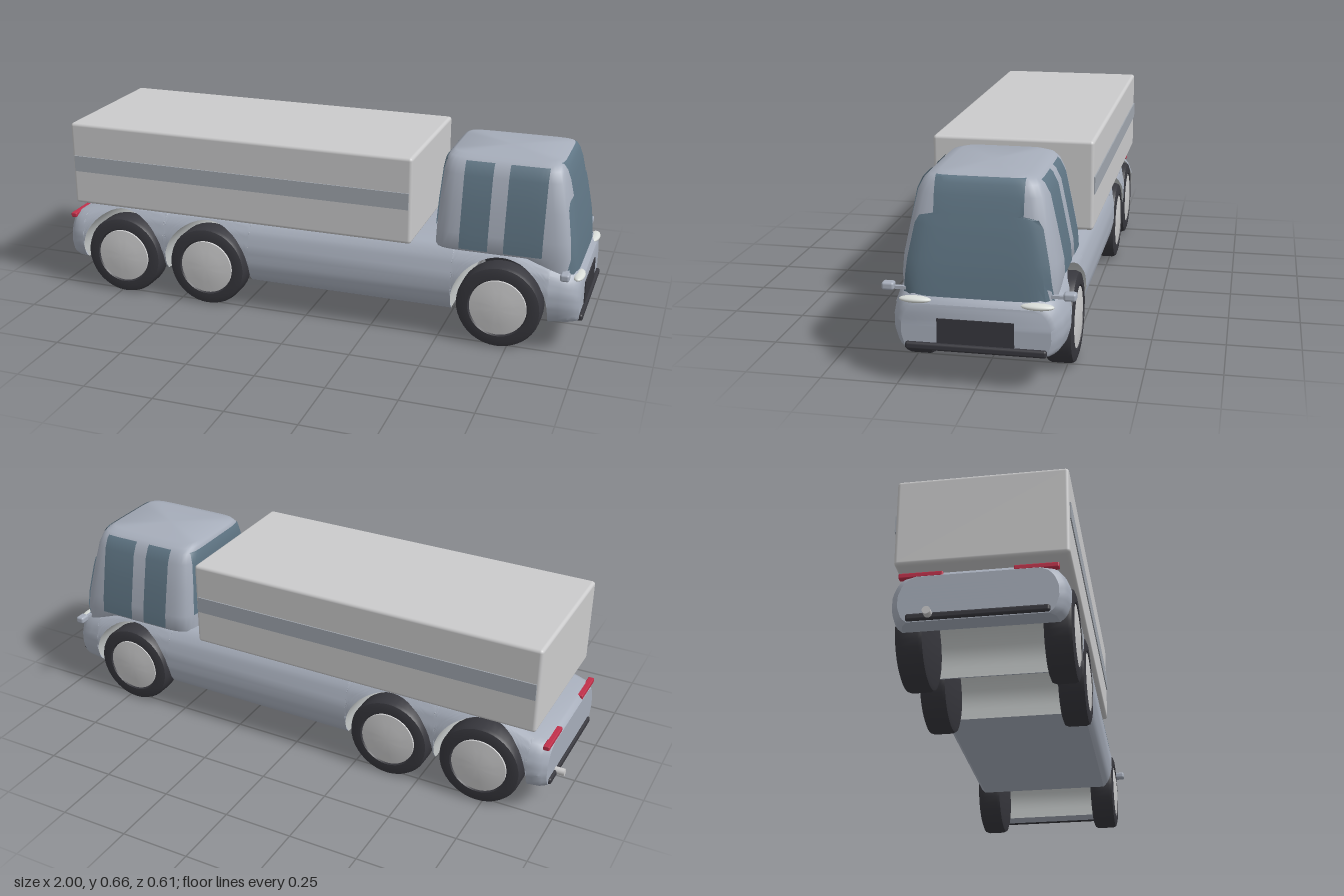
import * as THREE from 'three';
import { toCreasedNormals } from 'three/addons/utils/BufferGeometryUtils.js';
import { RoundedBoxGeometry } from 'three/addons/geometries/RoundedBoxGeometry.js';

const mat = (name, color, side = THREE.FrontSide) => {
  const m = new THREE.MeshStandardMaterial({ color, side });
  m.name = name;
  return m;
};

// Linear interpolation in rows of [key, value, ...]
function lerpTable(table, key, column = 1) {
  if (key <= table[0][0]) return table[0][column];
  for (let i = 1; i < table.length; i++) {
    const a = table[i - 1], b = table[i];
    if (key <= b[0]) return a[column] + (b[column] - a[column]) * (key - a[0]) / (b[0] - a[0]);
  }
  return table[table.length - 1][column];
}

// Collects quads and turns them into a geometry with creased normals
function quadBuilder() {
  const pos = [];
  return {
    quad: (a, b, c, d) => pos.push(...a, ...b, ...c, ...a, ...c, ...d),
    build(crease = 0.6) {
      const g = new THREE.BufferGeometry();
      g.setAttribute('position', new THREE.Float32BufferAttribute(pos, 3));
      return toCreasedNormals(g, crease);
    },
  };
}

// Chassis: top line, width along the length, width up the side
const TOP = [[-0.965, 0.272], [-0.95, 0.288], [-0.72, 0.342], [-0.6, 0.345], [0.75, 0.345], [0.9, 0.315], [0.97, 0.293], [0.988, 0.27]];
const TAPER = [[-0.965, 0.89], [-0.94, 0.97], [-0.9, 1], [0.88, 1], [0.95, 0.95], [0.978, 0.89], [0.988, 0.84]];
const SIDE = [[0, 0.245], [0.1, 0.266], [0.35, 0.28], [0.6, 0.279], [0.82, 0.263], [0.94, 0.242], [1, 0.215]];
const AXLES = [-0.73, -0.385, 0.715];
const BASE = 0.115, AXLE_Y = 0.153;

// Cabin levels: height, rear x, front x, half width
const CABIN = [
  [0.28, 0.465, 0.968, 0.247], [0.345, 0.465, 0.962, 0.252], [0.4, 0.467, 0.955, 0.248],
  [0.5, 0.472, 0.937, 0.228], [0.6, 0.48, 0.915, 0.207], [0.635, 0.485, 0.903, 0.19],
  [0.652, 0.492, 0.893, 0.172], [0.66, 0.505, 0.878, 0.14],
];
const cabinAt = (y) => {
  const [r, f, w] = [1, 2, 3].map((c) => lerpTable(CABIN, y, c));
  return { cx: (r + f) / 2, a: (f - r) / 2, w };
};
const POWER = 8;
const bulge = (t) => Math.pow(Math.max(0, 1 - Math.pow(Math.abs(t), POWER)), 1 / POWER);

function chassisGeometries() {
  const columns = [-0.965, -0.95, -0.94, -0.92].map((x) => [x, BASE]);
  for (const c of AXLES) {
    columns.push([c - 0.17, BASE]);
    for (let i = 0; i <= 24; i++) {
      const a = Math.PI * (1 - i / 24);
      columns.push([c + 0.17 * Math.cos(a), AXLE_Y + 0.175 * Math.sin(a), true]);
    }
    columns.push([c + 0.17, BASE]);
  }
  for (const x of [0.92, 0.95, 0.965, 0.978, 0.988]) columns.push([x, BASE + (x - 0.885) * 0.08]);
  const N = 14;
  const rings = columns.map(([x, b, arch]) => {
    const top = lerpTable(TOP, x), k = lerpTable(TAPER, x), pts = [];
    for (let j = 0; j <= N; j++) {
      const y = b + (top - b) * j / N;
      pts.push([x, y, k * lerpTable(SIDE, (y - BASE) / (top - BASE))]);
    }
    return { x, arch, pts };
  });
  const flip = ([x, y, z]) => [x, y, -z];
  const body = quadBuilder(), arches = quadBuilder();
  for (let i = 0; i < rings.length - 1; i++) {
    const A = rings[i], B = rings[i + 1], a = A.pts, b = B.pts;
    (A.arch || B.arch ? arches : body).quad(flip(a[0]), flip(b[0]), b[0], a[0]);
    if (B.x - A.x < 1e-5) continue;
    body.quad(a[N], b[N], flip(b[N]), flip(a[N]));
    for (let j = 0; j < N; j++) {
      body.quad(a[j], b[j], b[j + 1], a[j + 1]);
      body.quad(flip(b[j]), flip(a[j]), flip(a[j + 1]), flip(b[j + 1]));
    }
  }
  // End faces
  const first = rings[0].pts, last = rings[rings.length - 1].pts;
  for (let j = 0; j < N; j++) {
    body.quad(flip(first[j]), first[j], first[j + 1], flip(first[j + 1]));
    body.quad(last[j], flip(last[j]), flip(last[j + 1]), last[j + 1]);
  }
  return [body.build(), arches.build()];
}

function cabinGeometry() {
  const M = 96, b = quadBuilder();
  const floor = [[0.8, 0.338], [0.97, 0.275]];
  const ring = ([y], level) => {
    const { cx, a, w } = cabinAt(y), pts = [];
    for (let i = 0; i < M; i++) {
      const t = i / M * Math.PI * 2, c = Math.cos(t), s = Math.sin(t);
      const r = Math.pow(Math.abs(c) ** POWER + Math.abs(s) ** POWER, -1 / POWER);
      const x = cx + a * r * c;
      pts.push([x, level === 0 ? lerpTable(floor, x) : y, w * r * s]);
    }
    return pts;
  };
  const rings = CABIN.map(ring);
  for (let k = 0; k < rings.length - 1; k++)
    for (let i = 0; i < M; i++) {
      const n = (i + 1) % M;
      b.quad(rings[k][n], rings[k][i], rings[k + 1][i], rings[k + 1][n]);
    }
  // Roof
  const top = rings[rings.length - 1], peak = [0.69, 0.662, 0];
  for (let i = 0; i < M; i++) b.quad(top[(i + 1) % M], top[i], peak, peak);
  return b.build(0.8);
}

// Glass skin: point(y, u) on the cabin, rows of [height, u from, u to]
function glassGeometry(rows, point) {
  const b = quadBuilder(), NU = 20;
  const at = (y, i) => point(y, lerpTable(rows, y, 1) + (lerpTable(rows, y, 2) - lerpTable(rows, y, 1)) * i / NU);
  const y0 = rows[0][0], y1 = rows[rows.length - 1][0];
  const ys = [...rows, ...CABIN].map((r) => r[0]).filter((y) => y >= y0 && y <= y1).sort((p, q) => p - q);
  for (let k = 0; k < ys.length - 1; k++)
    for (let i = 0; i < NU; i++)
      if (ys[k + 1] > ys[k]) b.quad(at(ys[k], i), at(ys[k], i + 1), at(ys[k + 1], i + 1), at(ys[k + 1], i));
  return b.build();
}
const endPoint = (dir) => (y, z) => {
  const { cx, a, w } = cabinAt(y);
  return [cx + dir * (a * bulge(z / w) + 0.004), y, z];
};
const sidePoint = (dir) => (y, x) => {
  const { cx, a, w } = cabinAt(y);
  return [x, y, dir * (w * bulge((x - cx) / a) + 0.004)];
};

export function createModel() {
  const root = new THREE.Group();
  root.name = 'truck';
  const paint = mat('silver blue paint', 0xa6adba, THREE.DoubleSide);
  const liner = mat('light arch liner', 0xc6caca, THREE.DoubleSide);
  const cargo = mat('light grey', 0xcbcbcc);
  const stripe = mat('grey stripe', 0xa1a7af);
  const glass = mat('blue grey glass', 0x5f7584, THREE.DoubleSide);
  const rubber = mat('dark rubber', 0x37373d);
  const lamp = mat('clear lamp', 0xd8dcd8);
  const red = mat('red lamp', 0xc0304a);

  const add = (name, geometry, material, x = 0, y = 0, z = 0) => {
    const m = new THREE.Mesh(geometry, material);
    m.name = name;
    m.position.set(x, y, z);
    root.add(m);
    return m;
  };
  const box = (w, h, d, r) => new RoundedBoxGeometry(w, h, d, 3, r);

  // Chassis and cabin
  const [body, arches] = chassisGeometries();
  add('chassis', body, paint);
  add('wheelArches', arches, liner);
  add('cabin', cabinGeometry(), paint);

  // Windows
  const shield = [[0.287, 0.237], [0.4, 0.222], [0.51, 0.2], [0.535, 0.185], [0.545, 0.14], [0.655, 0.14]];
  add('windscreen', glassGeometry(shield.map(([y, h]) => [y, -h, h]), endPoint(1)), glass);
  add('rearWindow', glassGeometry([[0.4, -0.2, 0.2], [0.64, -0.165, 0.165]], endPoint(-1)), glass);
  for (const s of [1, -1])
    for (const [x0, x1] of [[0.565, 0.665], [0.72, 0.853]])
      add('sideWindow', glassGeometry([[0.347, x0, x1], [0.645, x0, x1]], sidePoint(s)), glass);

  // Cargo box with side stripes
  add('cargoBox', box(1.32, 0.314, 0.56, 0.012), cargo, -0.26, 0.504, 0);
  for (const s of [1, -1])
    add('cargoStripe', new THREE.BoxGeometry(1.3, 0.06, 0.006), stripe, -0.26, 0.505, s * 0.281);

  // Wheels
  const lathe = (pts) => toCreasedNormals(new THREE.LatheGeometry(pts.map(([r, h]) => new THREE.Vector2(r, h)), 40), 0.7);
  const tyre = lathe([[0, 0.187], [0.13, 0.187], [0.145, 0.192], [0.15, 0.204], [0.15, 0.263], [0.145, 0.275], [0.13, 0.28], [0.106, 0.28], [0.1, 0.27]]);
  const hub = lathe([[0.102, 0.268], [0.1, 0.278], [0.06, 0.283], [0.03, 0.286], [0, 0.286]]);
  for (const x of AXLES)
    for (const s of [1, -1]) {
      add('tyre', tyre, rubber, x, AXLE_Y, 0).rotation.x = s * Math.PI / 2;
      add('hub', hub, cargo, x, AXLE_Y, 0).rotation.x = s * Math.PI / 2;
    }

  // Bumpers, grille and exhaust
  add('frontBumper', box(0.03, 0.024, 0.444, 0.008), rubber, 0.985, 0.133, 0);
  add('rearBumper', box(0.024, 0.024, 0.444, 0.008), rubber, -0.962, 0.13, 0);
  add('grille', new THREE.BoxGeometry(0.008, 0.08, 0.242), rubber, 0.988, 0.186, 0);
  add('exhaust', new THREE.CylinderGeometry(0.013, 0.013, 0.1, 20), cargo, -0.95, 0.135, -0.15).rotation.z = Math.PI / 2;

  // Lamps and mirrors on both sides
  for (const s of [1, -1]) {
    add('headlight', new THREE.SphereGeometry(1, 24, 12), lamp, 0.975, 0.279, s * 0.19).scale.set(0.02, 0.011, 0.053);
    add('tailLight', box(0.022, 0.018, 0.14, 0.004), red, -0.953, 0.28, s * 0.18);
    add('mirror', box(0.032, 0.026, 0.04, 0.008), paint, 0.94, 0.306, s * 0.285);
    add('mirrorArm', new THREE.BoxGeometry(0.012, 0.01, 0.05), paint, 0.94, 0.302, s * 0.245);
  }
  return root;
}
